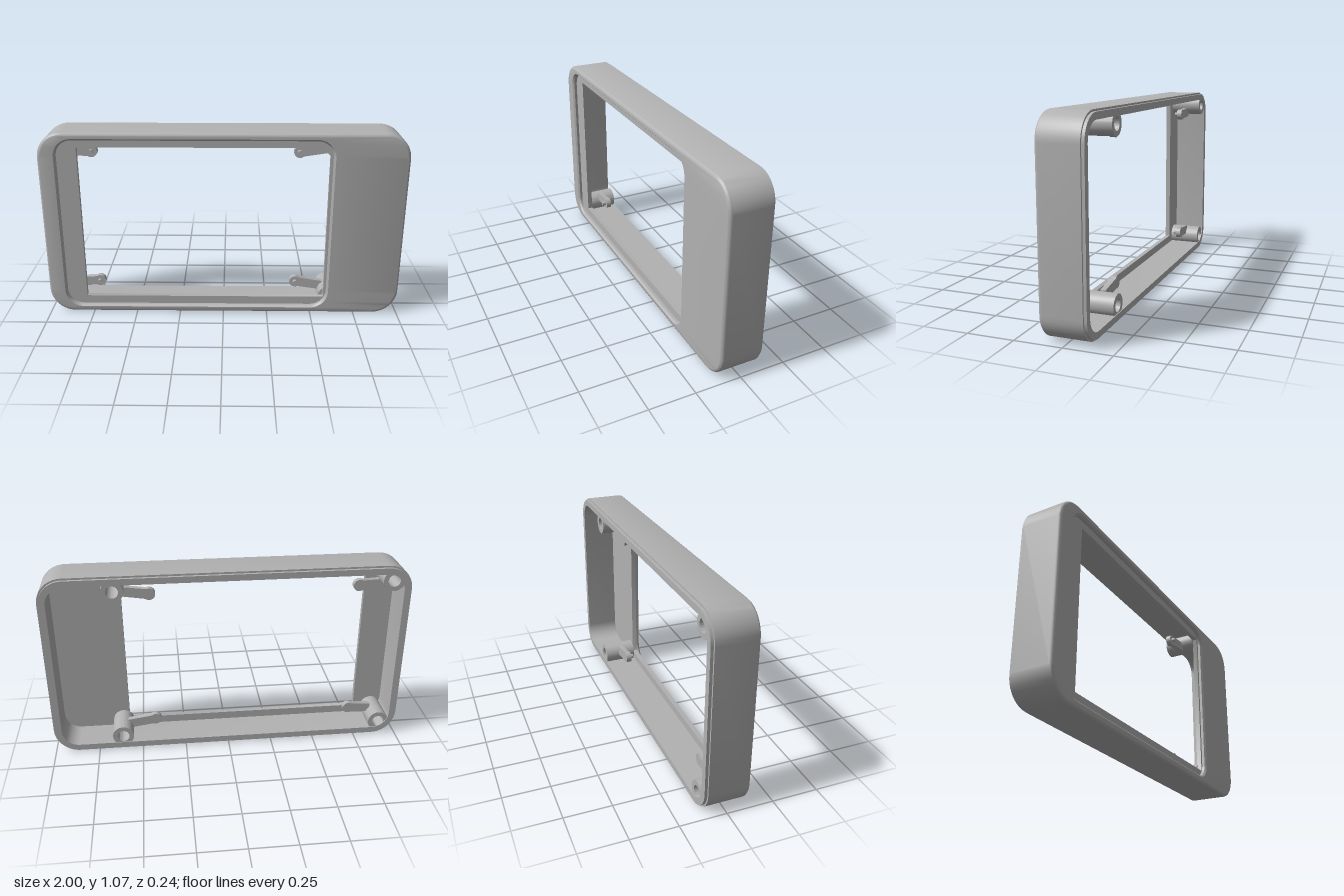
import * as THREE from 'three';
import { toCreasedNormals } from 'three/addons/utils/BufferGeometryUtils.js';

const H = 1.066;          // overall height
const CORNER_STEPS = 10;  // segments per rounded corner

// Points of a rounded rectangle, counter-clockwise seen from the front
function roundedLoop([x0, x1, y0, y1, r, z]) {
  const pts = [];
  const centres = [[x1 - r, y1 - r], [x0 + r, y1 - r], [x0 + r, y0 + r], [x1 - r, y0 + r]];
  centres.forEach(([cx, cy], q) => {
    for (let i = 0; i <= CORNER_STEPS; i++) {
      const a = (q + i / CORNER_STEPS) * Math.PI / 2;
      pts.push([cx + r * Math.cos(a), cy + r * Math.sin(a), z]);
    }
  });
  return pts;
}

// Skin through a closed cycle of rounded rectangles
function loftCycle(sections) {
  const loops = sections.map(roundedLoop);
  const n = loops[0].length;
  const index = [];
  loops.forEach((_, s) => {
    const t = (s + 1) % loops.length;
    for (let j = 0; j < n; j++) {
      const k = (j + 1) % n;
      const a = s * n + j, b = s * n + k, c = t * n + k, d = t * n + j;
      index.push(a, b, c, a, c, d);
    }
  });
  const geo = new THREE.BufferGeometry();
  geo.setAttribute('position', new THREE.Float32BufferAttribute(loops.flat(2), 3));
  geo.setIndex(index);
  return toCreasedNormals(geo, 0.55);
}

// Section inset evenly from the outer outline
const inset = (d, r, z) => [-1 + d, 1 - d, d, H - d, r, z];

function extrude(shape, z0, z1) {
  const geo = new THREE.ExtrudeGeometry(shape, { depth: z1 - z0, bevelEnabled: false, curveSegments: 20 });
  geo.translate(0, 0, z0);
  return toCreasedNormals(geo, 0.55);
}

export function createModel() {
  const model = new THREE.Group();
  const grey = new THREE.MeshStandardMaterial({ color: 0xb2b2b2 });
  grey.name = 'grey plastic';

  const add = (name, geo, parent = model) => {
    const mesh = new THREE.Mesh(geo, grey);
    mesh.name = name;
    parent.add(mesh);
    return mesh;
  };

  // Housing: cavity, back lip, outer wall, front fillet, recess and window
  const fillet = [];
  const f = 0.02;
  for (let i = 0; i <= 5; i++) {
    const a = i / 5 * Math.PI / 2;
    const d = f * (1 - Math.cos(a));
    fillet.push(inset(d, 0.14 - d, 0.12 - f + f * Math.sin(a)));
  }
  const windowAt = z => [-0.79, 0.575, 0.09, H - 0.085, 0.001, z];
  add('housing', loftCycle([
    windowAt(0.068),
    inset(0.045, 0.095, 0.068),
    inset(0.045, 0.095, -0.12),
    inset(0.01, 0.13, -0.12),
    inset(0.01, 0.13, -0.105),
    inset(0, 0.14, -0.105),
    ...fillet,
    [-0.91, 0.6, 0.033, H - 0.033, 0.1, 0.12],
    [-0.9, 0.59, 0.043, H - 0.043, 0.09, 0.11],
    [-0.9, 0.59, 0.043, H - 0.043, 0.09, 0.095],
    windowAt(0.095),
  ]));

  // Screw posts, each with an arm that carries a locating pin
  const mounts = [
    { side: 'Right', post: -0.895, root: [-0.895, 0.938], tip: -0.73 },
    { side: 'Left', post: 0.61, root: [0.61, 0.957], tip: 0.42 },
  ];
  for (const { side, post, root, tip } of mounts) {
    for (const top of [true, false]) {
      const my = y => (top ? y : H - y);
      const group = new THREE.Group();
      group.name = (top ? 'upper' : 'lower') + side + 'Mount';
      model.add(group);

      // Post with a screw hole
      const ring = new THREE.Shape().absarc(post, my(0.982), 0.06, 0, Math.PI * 2);
      ring.holes.push(new THREE.Path().absarc(post, my(0.982), 0.034, 0, Math.PI * 2, true));
      add('screwPost', extrude(ring, -0.115, 0.07), group);

      // Arm with a rounded tip, starting just outside the screw hole
      const ty = my(0.929), ry = my(root[1]);
      const a = Math.atan2(ry - ty, root[0] - tip);
      const ex = root[0] - 0.035 * Math.cos(a), ey = ry - 0.035 * Math.sin(a);
      const w = 0.027, nx = -Math.sin(a) * w, ny = Math.cos(a) * w;
      const arm = new THREE.Shape();
      arm.absarc(tip, ty, 0.033, a + 1.0, a - 1.0 + Math.PI * 2);
      arm.lineTo(ex - nx, ey - ny);
      arm.lineTo(ex + nx, ey + ny);
      arm.closePath();
      add('arm', extrude(arm, -0.035, -0.005), group);

      // Locating pin
      const pin = add('pin', new THREE.CylinderGeometry(0.013, 0.013, 0.03, 16), group);
      pin.rotation.x = Math.PI / 2;
      pin.position.set(tip, ty, 0);
    }
  }
  return model;
}
